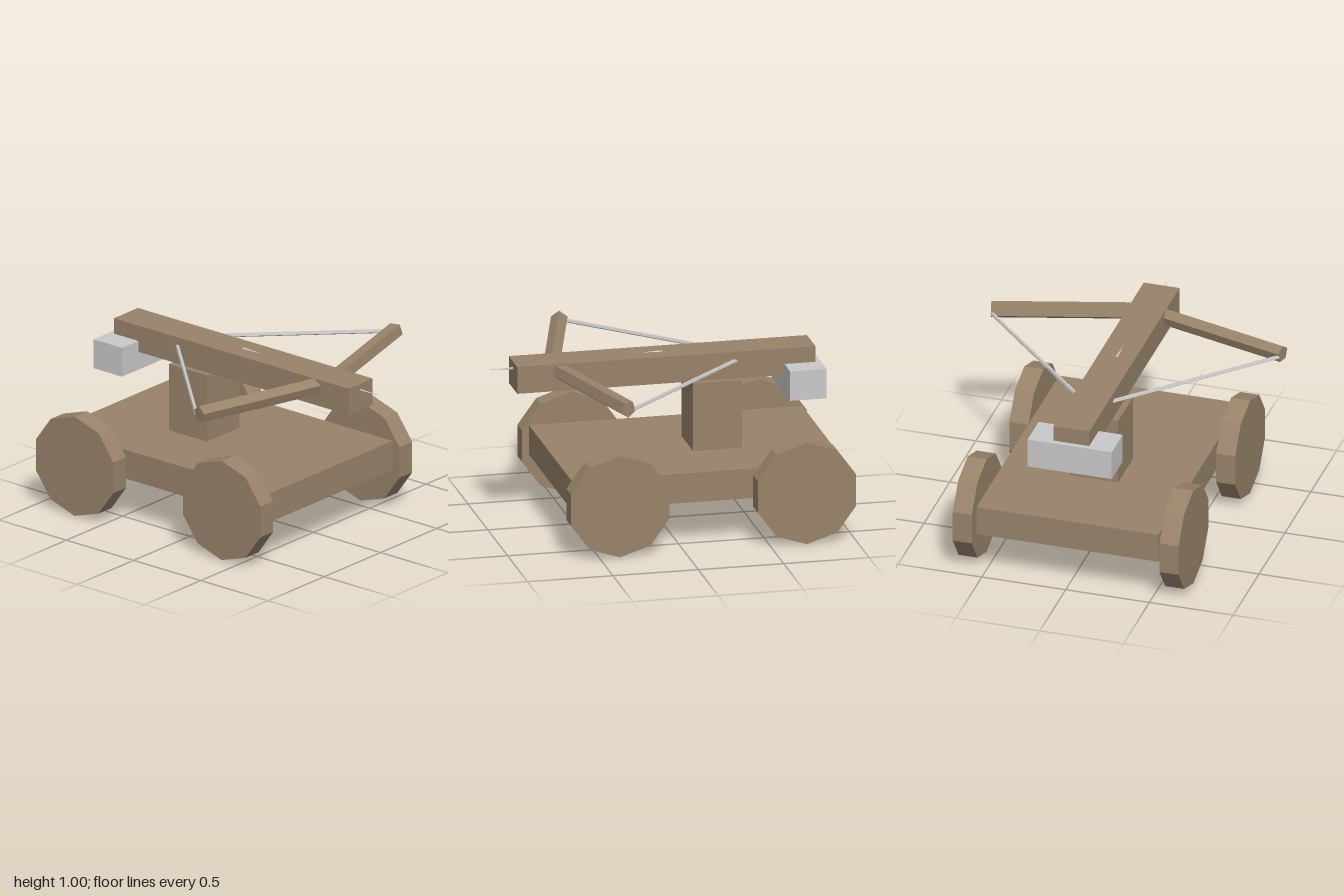
import * as THREE from 'three';

export function createModel() {
  const model = new THREE.Group();
  model.name = 'siegeBallista';

  const wood = new THREE.MeshStandardMaterial({ color: 0x98836a, flatShading: true });
  wood.name = 'wood';
  const metal = new THREE.MeshStandardMaterial({ color: 0xc9c9c9, flatShading: true });
  metal.name = 'pale grey';

  const add = (name, geometry, material) => {
    const mesh = new THREE.Mesh(geometry, material);
    mesh.name = name;
    model.add(mesh);
    return mesh;
  };

  // Box given by its minimum and maximum corners
  const box = (name, min, max, material) => {
    const size = max.map((v, i) => v - min[i]);
    const mesh = add(name, new THREE.BoxGeometry(...size), material);
    mesh.position.set(...max.map((v, i) => (v + min[i]) / 2));
  };

  // Faceted rod between two points; a corner points down, or up when cornerUp is set
  const rod = (name, from, to, r0, r1, sides, material, cornerUp = false) => {
    const a = new THREE.Vector3(...from);
    const b = new THREE.Vector3(...to);
    const geometry = new THREE.CylinderGeometry(r1, r0, a.distanceTo(b), sides);
    if (cornerUp) geometry.rotateY(Math.PI);
    geometry.rotateX(Math.PI / 2);
    const mesh = add(name, geometry, material);
    mesh.position.copy(a).add(b).multiplyScalar(0.5);
    mesh.lookAt(b);
  };

  // Carriage, post and stock
  box('carriageDeck', [-0.543, 0.26, -0.967], [0.543, 0.436, 0.633], wood);
  box('post', [-0.145, 0.436, -0.454], [0.142, 0.84, -0.168], wood);
  box('stock', [-0.108, 0.84, -0.894], [0.106, 1.0, 0.852], wood);
  box('counterweight', [-0.252, 0.73, -0.926], [0.25, 0.906, -0.712], metal);

  for (const side of [-1, 1]) {
    const label = side > 0 ? 'left' : 'right';

    // Ten-sided wheels
    for (const [place, z] of [['Front', 0.382], ['Rear', -0.712]]) {
      rod(label + place + 'Wheel', [side * 0.56, 0.307, z], [side * 0.674, 0.307, z],
        0.303, 0.303, 10, wood);
    }

    // Bow arm and string
    rod(label + 'BowArm', [0, 0.951, 0.627], [side * 0.87, 0.951, 0.379],
      0.05, 0.05, 5, wood, side < 0);
    rod(label + 'String', [0, 0.945, -0.53], [side * 0.855, 0.945, 0.345],
      0.012, 0.012, 5, metal);
  }

  // Tapered bolt running through the stock
  rod('bolt', [0, 0.961, -0.02], [0, 0.961, 1.0], 0.045, 0, 5, metal, true);

  return model;
}
